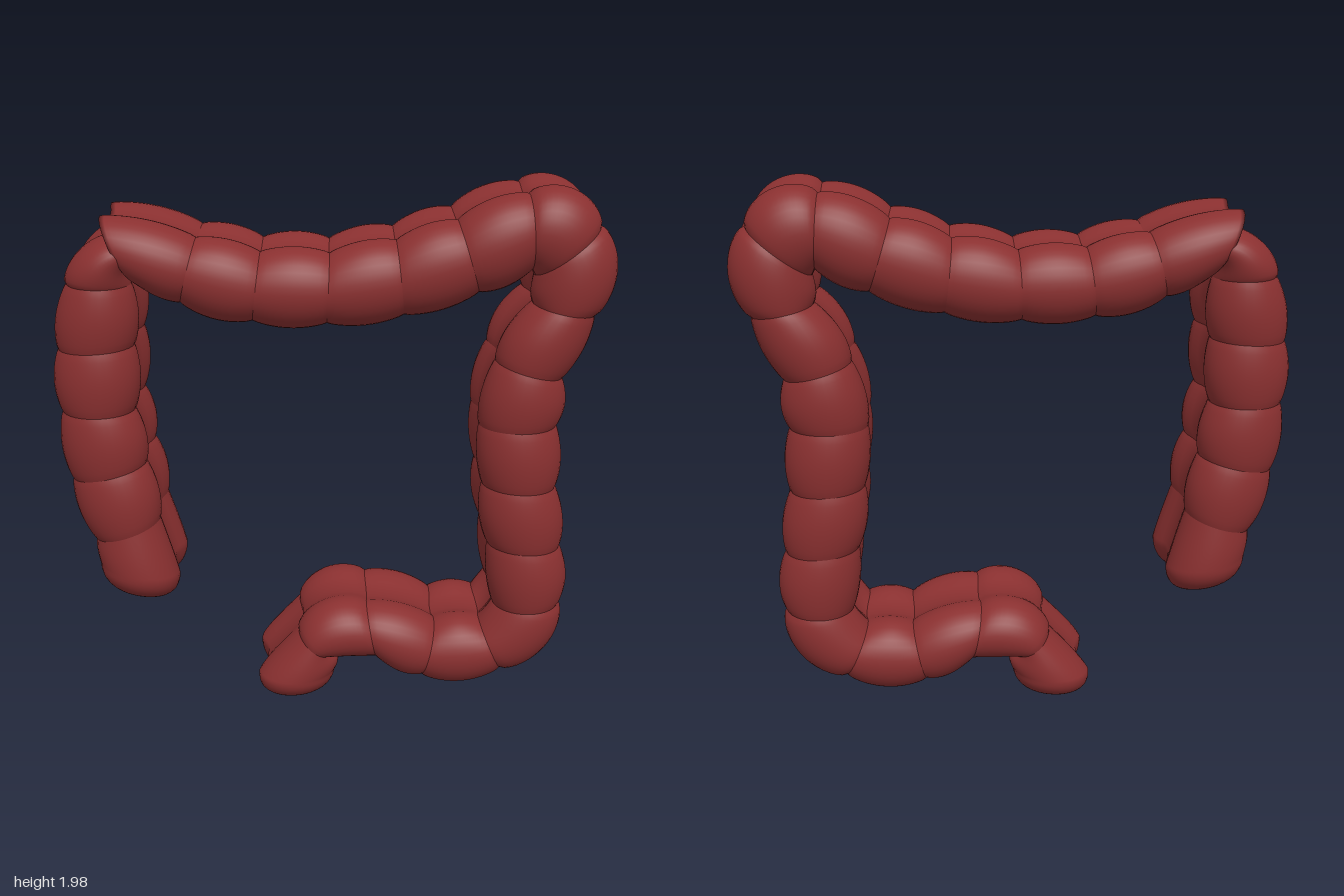
import * as THREE from 'three';

const SIDES = 48, STEPS = 16;
const lerp = THREE.MathUtils.lerp;
const mix = (p, q, t) => [lerp(p[0], q[0], t), lerp(p[1], q[1], t)];

// Two-lobed cross-section: height at z (0..1), with a flat groove down the middle
function lobe(z) {
  if (z > 0.5) return Math.sqrt(Math.max(0, 1 - ((z - 0.5) / 0.5) ** 2));
  return 0.79 + 0.21 * THREE.MathUtils.smoothstep(z, 0.1, 0.5);
}

// One ring between edge points a and b; fwd pushes it along the tube
function ring(a, b, width, fwd = [0, 0], fullWidth = 0.266) {
  const c = mix(a, b, 0.5), h = [a[0] - c[0], a[1] - c[1]], pts = [];
  for (let j = 0; j < SIDES; j++) {
    const th = (j / SIDES) * Math.PI * 2, z = Math.sin(th);
    const u = Math.sign(Math.cos(th)) * lobe(Math.abs(z));
    const zz = z * width;
    const push = 0.8 + 0.2 * THREE.MathUtils.smoothstep(Math.abs(zz) / fullWidth, 0.05, 0.5);
    pts.push(c[0] + h[0] * u + fwd[0] * push, c[1] + h[1] * u + fwd[1] * push, zz);
  }
  return pts;
}

function skin(rings) {
  const index = [];
  for (let i = 0; i < rings.length - 1; i++) {
    for (let j = 0; j < SIDES; j++) {
      const k = (j + 1) % SIDES, p = i * SIDES, q = p + SIDES;
      index.push(p + j, p + k, q + j, p + k, q + k, q + j);
    }
  }
  const g = new THREE.BufferGeometry();
  g.setAttribute('position', new THREE.Float32BufferAttribute(rings.flat(), 3));
  g.setIndex(index);
  g.computeVertexNormals();
  return g;
}

// Pouch between two joints, bulging by ba and bb on its two edges
function pouch([a0, b0], [a1, b1], ba = 0.022, bb = 0.022) {
  const rings = [];
  for (let i = 0; i <= STEPS; i++) {
    const t = i / STEPS, s = Math.max(0, Math.sin(Math.PI * t)) ** 0.75;
    const a = mix(a0, a1, t), b = mix(b0, b1, t);
    const d = [a[0] - b[0], a[1] - b[1]], l = Math.hypot(...d);
    const n = [d[0] / l, d[1] / l];
    rings.push(ring([a[0] + n[0] * ba * s, a[1] + n[1] * ba * s],
      [b[0] - n[0] * bb * s, b[1] - n[1] * bb * s], 0.25 + 0.016 * s));
  }
  return rings;
}

// Closed end: widens from the joint to its fullest section, then domes over
function blindEnd([a0, b0], [a1, b1], length, dir) {
  const rings = [], c0 = mix(a0, b0, 0.5), c1 = mix(a1, b1, 0.5);
  for (let i = 0; i < STEPS; i++) {
    const t = i / STEPS, s = Math.sin(t * Math.PI / 2), c = mix(c0, c1, t);
    const edge = (p, q) => [0, 1].map(k => c[k] + lerp(p[k] - c0[k], q[k] - c1[k], s));
    rings.push(ring(edge(a0, a1), edge(b0, b1), 0.25 + 0.016 * s));
  }
  for (let i = 0; i <= STEPS; i++) {
    const phi = (i / STEPS) * Math.PI / 2;
    const s = Math.max(0, Math.cos(phi)) ** 0.75, f = Math.sin(phi) * length;
    rings.push(ring(mix(c1, a1, s), mix(c1, b1, s), 0.266 * s, [dir[0] * f, dir[1] * f]));
  }
  return rings;
}

// Flat closing ring
const closing = ([a, b]) => ring(mix(a, b, 0.5), mix(a, b, 0.5), 0);

export function createModel() {
  const model = new THREE.Group();
  model.name = 'segmentedTube';
  const flesh = new THREE.MeshStandardMaterial({ color: 0x8a3030, side: THREE.DoubleSide });
  flesh.name = 'dark red flesh';
  const add = (name, rings) => {
    const m = new THREE.Mesh(skin(rings), flesh);
    m.name = name;
    model.add(m);
  };

  // Joints as [outer edge, inner edge], optional bulges of the pouch that follows
  const ascending = [
    [[-0.88, 0.69], [-0.64, 0.76]],
    [[-0.95, 0.93], [-0.68, 0.985]],
    [[-0.97, 1.19], [-0.71, 1.19]],
    [[-0.97, 1.42], [-0.70, 1.43]],
    [[-0.925, 1.655], [-0.70, 1.65], 0.055, 0],
    [[-0.735, 1.82], [-0.71, 1.70]],
  ];
  const onward = [
    [[-0.795, 1.885], [-0.69, 1.66], 0.025, 0.015],
    [[-0.47, 1.81], [-0.53, 1.585], 0.02, 0.028],
    [[-0.25, 1.76], [-0.28, 1.52]],
    [[-0.01, 1.755], [-0.02, 1.51]],
    [[0.22, 1.80], [0.25, 1.54]],
    [[0.43, 1.87], [0.51, 1.62], 0.03, 0.02],
    [[0.67, 1.96], [0.69, 1.70], 0.075, 0],
    [[0.92, 1.85], [0.70, 1.68], 0.07, 0.01],
    [[0.92, 1.54], [0.70, 1.58], 0.02, 0.03],
    [[0.82, 1.31], [0.58, 1.37]],
    [[0.81, 1.13], [0.53, 1.13], 0.02, 0.015],
    [[0.82, 0.89], [0.55, 0.90]],
    [[0.85, 0.65], [0.58, 0.66], 0.028, 0.015],
    [[0.86, 0.415], [0.61, 0.41], 0.08, 0],
    [[0.65, 0.14], [0.56, 0.34], 0.045, 0.02],
    [[0.34, 0.11], [0.39, 0.33], 0.025, 0.028],
    [[0.17, 0.19], [0.13, 0.40], 0, 0.07],
    [[0.0, 0.20], [-0.13, 0.29]],
  ];

  add('lowerLeftBlindEnd', blindEnd(ascending[0],
    [[-0.87, 0.59], [-0.575, 0.535]], 0.13, [-0.02, -1]).reverse());
  const chain = (name, joints) => {
    for (let i = 0; i < joints.length - 1; i++) {
      const rings = pouch(joints[i], joints[i + 1], joints[i][2], joints[i][3]);
      // Close the two ends that overlap at the folded corner
      if (joints === ascending && i === joints.length - 2) rings.push(closing(joints[i + 1]));
      if (joints === onward && i === 0) rings.unshift(closing(joints[0]));
      add(name + (i + 1), rings);
    }
  };
  chain('sidePouch', ascending);
  chain('mainPouch', onward);
  add('bottomBlindEnd', blindEnd(onward[onward.length - 1],
    [[0.01, 0.13], [-0.285, 0.11]], 0.115, [-0.1, -1]));
  return model;
}
